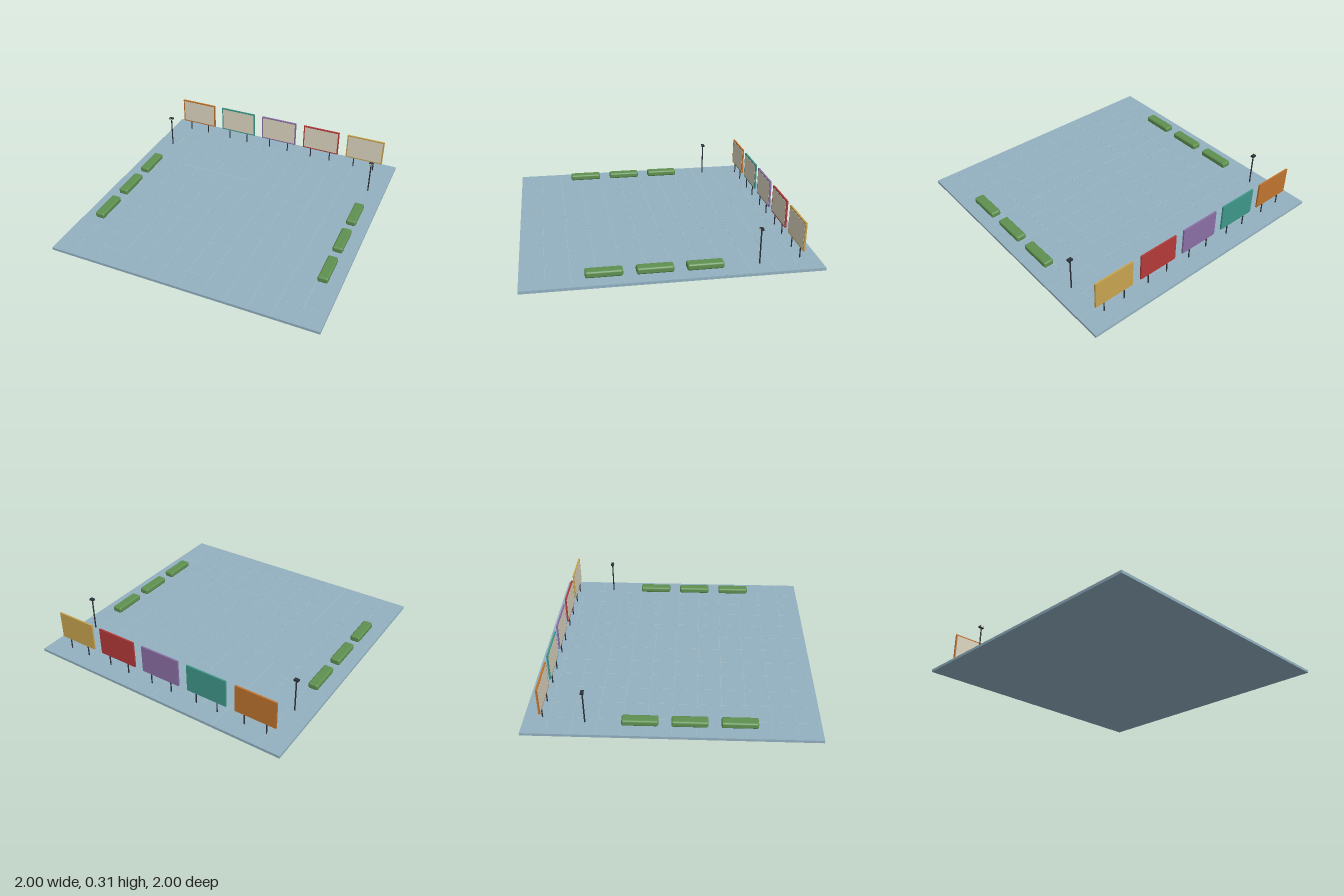
import * as THREE from 'three';
import { RoundedBoxGeometry } from 'three/addons/geometries/RoundedBoxGeometry.js';

const mat = (color) => new THREE.MeshStandardMaterial({ color });
const floorMat = mat(0x93b1c1);
const jointMat = mat(0xa9bcc2);
const darkMat = mat(0x2b323a);
const creamMat = mat(0xddd6c0);
const hedgeMat = mat(0x5f9150);

const FLOOR = 0.02;

function add(parent, name, geometry, material, x, y, z) {
  const mesh = new THREE.Mesh(geometry, material);
  mesh.name = name;
  mesh.position.set(x, y, z);
  parent.add(mesh);
  return mesh;
}

const box = (w, h, d) => new THREE.BoxGeometry(w, h, d);

// Coloured board with a cream face on two short posts
function makeBoard(color) {
  const board = new THREE.Group();
  board.name = 'displayBoard';
  add(board, 'boardFrame', box(0.305, 0.205, 0.012), mat(color), 0, 0.2025, 0);
  add(board, 'boardFace', box(0.285, 0.185, 0.003), creamMat, 0, 0.2025, 0.0058);
  for (const side of [-1, 1]) {
    add(board, 'boardPost', new THREE.CylinderGeometry(0.0045, 0.0045, 0.085, 8),
      darkMat, side * 0.083, FLOOR + 0.0415, 0);
  }
  return board;
}

// Slim pole with a small box head, lit on its front
function makeLamp() {
  const lamp = new THREE.Group();
  lamp.name = 'lamp';
  add(lamp, 'lampPole', new THREE.CylinderGeometry(0.005, 0.005, 0.25, 8),
    darkMat, 0, FLOOR + 0.125, 0);
  add(lamp, 'lampHead', box(0.033, 0.014, 0.024), darkMat, 0, 0.272, 0);
  add(lamp, 'lampLight', box(0.028, 0.01, 0.002), creamMat, 0, 0.272, 0.0122);
  return lamp;
}

export function createModel() {
  const model = new THREE.Group();
  model.name = 'exhibitionPlaza';

  // Floor slab
  add(model, 'floor', box(2, FLOOR, 2), floorMat, 0, FLOOR / 2, 0);

  // Thin floor joints in both directions
  for (let i = -5; i <= 5; i++) {
    add(model, 'floorJointLong', box(0.002, 0.001, 1.998), jointMat, i / 6, FLOOR, 0);
    add(model, 'floorJointCross', box(1.998, 0.001, 0.002), jointMat, 0, FLOOR, i / 6);
  }

  // Row of boards along the back
  [0xc0742f, 0x3f978a, 0x8c6fa6, 0xb53a3a, 0xc9a450].forEach((color, i) => {
    const board = makeBoard(color);
    board.position.set((i - 2) * 0.375, 0, -0.875);
    model.add(board);
  });

  // Lamps and hedges mirrored on both sides
  for (const side of [-1, 1]) {
    const lamp = makeLamp();
    lamp.position.set(side * 0.873, 0, -0.583);
    model.add(lamp);
    for (let i = 0; i < 3; i++) {
      add(model, 'hedge', new RoundedBoxGeometry(0.074, 0.045, 0.247, 2, 0.013),
        hedgeMat, side * 0.873, 0.0445, -0.212 + i / 3);
    }
  }
  return model;
}
